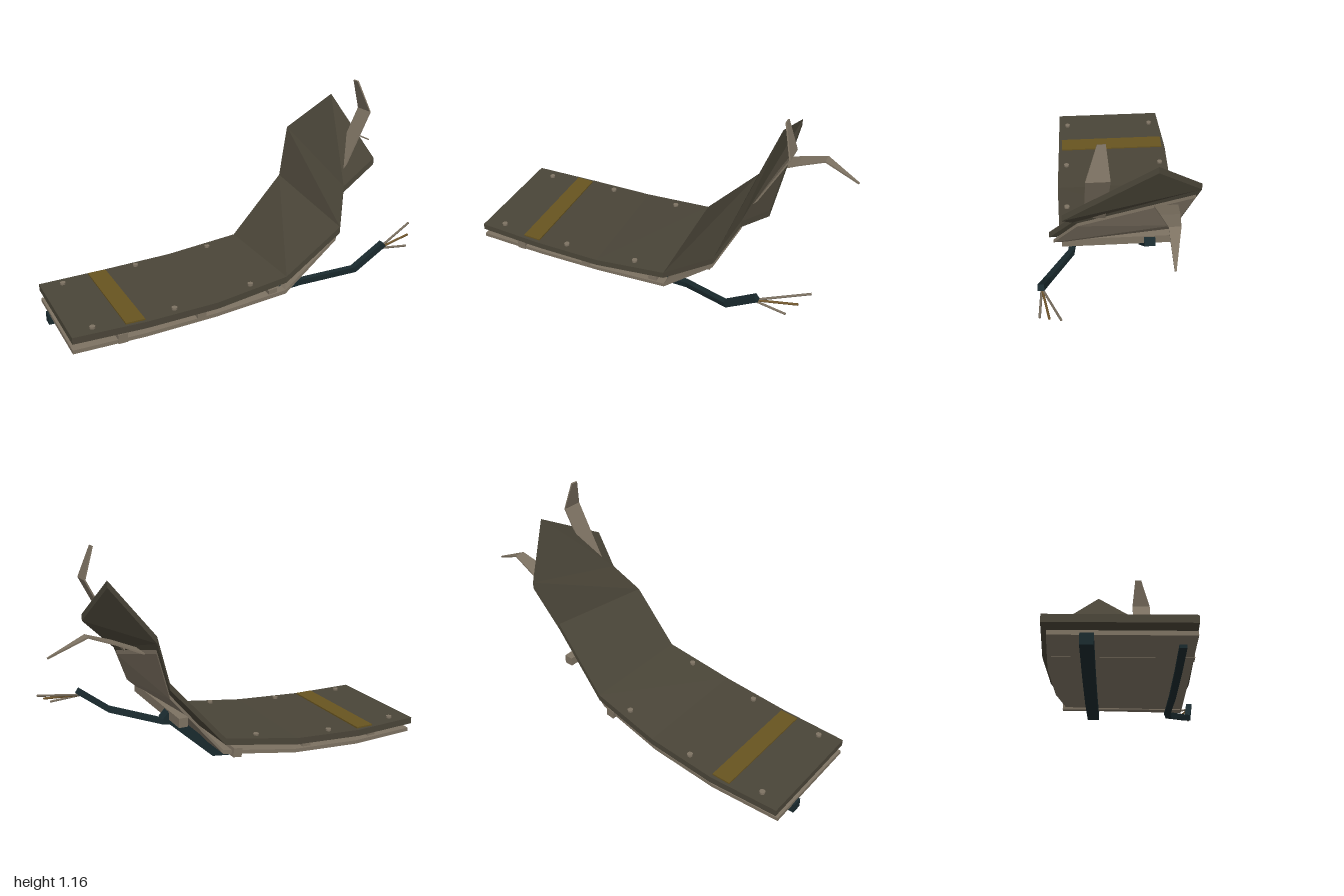
import * as THREE from 'three';

const mat = (name, color, side = THREE.FrontSide) => {
  const m = new THREE.MeshStandardMaterial({ color, side });
  m.name = name;
  return m;
};

// Joins four-cornered cross-sections (top front, top back, bottom back, bottom front) into a solid
function loft(sections) {
  const pos = [];
  const quad = (a, b, c, d) => [a, b, c, a, c, d].forEach((p) => pos.push(...p));
  for (let s = 0; s < sections.length - 1; s++) {
    const p = sections[s], q = sections[s + 1];
    for (let i = 0; i < 4; i++) {
      const j = (i + 1) % 4;
      quad(p[i], q[i], q[j], p[j]);
    }
  }
  const a = sections[0], b = sections[sections.length - 1];
  quad(a[0], a[1], a[2], a[3]);
  quad(b[3], b[2], b[1], b[0]);
  const g = new THREE.BufferGeometry();
  g.setAttribute('position', new THREE.Float32BufferAttribute(pos, 3));
  g.computeVertexNormals();
  return g;
}

// Wide plate; stations are [x, front z, front y, back z, back y], thickness is vertical
const plate = (stations, t) => loft(stations.map(([x, zf, yf, zb, yb]) => [
  [x, yf, zf], [x, yb, zb], [x, yb - t, zb], [x, yf - t, zf],
]));

// Bent bar; stations are [x, y, front z, back z], thickness is square to the path
const bar = (stations, t) => loft(stations.map(([x, y, zf, zb], i) => {
  const p = stations[Math.max(0, i - 1)], q = stations[Math.min(stations.length - 1, i + 1)];
  const n = new THREE.Vector2(p[1] - q[1], q[0] - p[0]).normalize().multiplyScalar(t / 2);
  return [
    [x + n.x, y + n.y, zf], [x + n.x, y + n.y, zb],
    [x - n.x, y - n.y, zb], [x - n.x, y - n.y, zf],
  ];
}));

export function createModel() {
  const group = new THREE.Group();
  const olive = mat('dark olive plating', 0x4a4538);
  const metal = mat('bare metal', 0x7d7262);
  const teal = mat('dark teal frame', 0x1a2a2e);
  const yellow = mat('faded yellow paint', 0x685420);
  const copper = mat('copper wire', 0x74592f);
  const add = (name, geometry, material) => {
    const mesh = new THREE.Mesh(geometry, material);
    mesh.name = name;
    group.add(mesh);
    return mesh;
  };

  // Outer plate, curling up to a torn edge
  add('outerPlate', plate([
    [-0.99, 0.27, 0.14, -0.36, 0.14],
    [-0.62, 0.28, 0.14, -0.38, 0.14],
    [-0.24, 0.29, 0.16, -0.37, 0.16],
    [0.16, 0.285, 0.215, -0.335, 0.22],
    [0.45, 0.33, 0.46, -0.32, 0.55],
    [0.54, 0.215, 0.635, -0.395, 0.81],
    [0.69, 0.26, 0.785, -0.17, 1.04],
  ], 0.035), olive);

  // Inner skin beneath it
  add('innerSkin', plate([
    [-0.99, 0.265, 0.07, -0.335, 0.07],
    [-0.62, 0.265, 0.07, -0.355, 0.07],
    [-0.24, 0.27, 0.09, -0.345, 0.09],
    [0.16, 0.28, 0.135, -0.305, 0.145],
    [0.44, 0.31, 0.4, -0.29, 0.48],
    [0.535, 0.19, 0.59, -0.37, 0.74],
  ], 0.02), metal);

  // Ribs running across, between the two layers
  [[-0.74, 0.073, 0.02], [-0.32, 0.093, 0.05], [0.09, 0.128, 0.14], [0.387, 0.343, 0]].forEach(([x, y, tilt]) => {
    const rib = add('crossRib', new THREE.BoxGeometry(0.048, 0.048, 0.6), metal);
    rib.position.set(x, y, -0.03);
    rib.rotation.z = tilt;
  });

  // Heavy frame rail under the skin
  add('frameRail', bar([
    [-1, 0.03], [-0.62, 0.03], [-0.24, 0.05], [0.16, 0.1], [0.425, 0.345],
  ].map(([x, y]) => [x, y, -0.147, -0.204]), 0.052), teal);

  // Slim conduit that bends away from the skin
  add('conduit', bar([
    [-0.9, 0.05, 0.21], [-0.62, 0.05, 0.21], [-0.24, 0.07, 0.21], [0.16, 0.12, 0.21],
    [0.27, 0.137, 0.225], [0.535, 0.21, 0.35], [0.7, 0.335, 0.375],
  ].map(([x, y, z]) => [x, y, z + 0.016, z - 0.016]), 0.032), teal);

  // Frayed wires at the end of the conduit
  const start = new THREE.Vector3(0.68, 0.31, 0.372);
  [[0.94, 0.375, 0.28, metal], [0.895, 0.335, 0.335, copper], [0.85, 0.295, 0.382, metal]].forEach(([x, y, z, m]) => {
    const end = new THREE.Vector3(x, y, z);
    const dir = end.clone().sub(start);
    const wire = add('frayedWire', new THREE.CylinderGeometry(0.006, 0.006, dir.length(), 6), m);
    wire.position.copy(start).add(end).multiplyScalar(0.5);
    wire.quaternion.setFromUnitVectors(new THREE.Vector3(0, 1, 0), dir.normalize());
  });

  // Torn shards
  add('uprightShard', bar([
    [0.47, 0.5, 0.16, 0.06], [0.73, 1.005, 0.152, 0.043], [0.68, 1.165, 0.098, 0.06],
  ], 0.008), metal);
  add('sideShard', bar([
    [0.56, 0.7, -0.17, -0.285], [0.69, 0.758, -0.185, -0.275],
    [0.82, 0.805, -0.204, -0.26], [1, 0.72, -0.212, -0.22],
  ], 0.008), metal);

  // Painted stripe
  const stripe = add('paintedStripe', new THREE.BoxGeometry(0.1, 0.009, 0.62), yellow);
  stripe.position.set(-0.67, 0.1435, -0.05);

  // Rivets along both edges
  [[-0.875, 0.143, -0.305, 0.22], [-0.455, 0.152, -0.33, 0.235], [-0.03, 0.193, -0.3, 0.24]].forEach(([x, y, ...zs]) => {
    zs.forEach((z) => {
      const rivet = add('rivet', new THREE.CylinderGeometry(0.015, 0.015, 0.016, 10), metal);
      rivet.position.set(x, y, z);
    });
  });

  return group;
}
